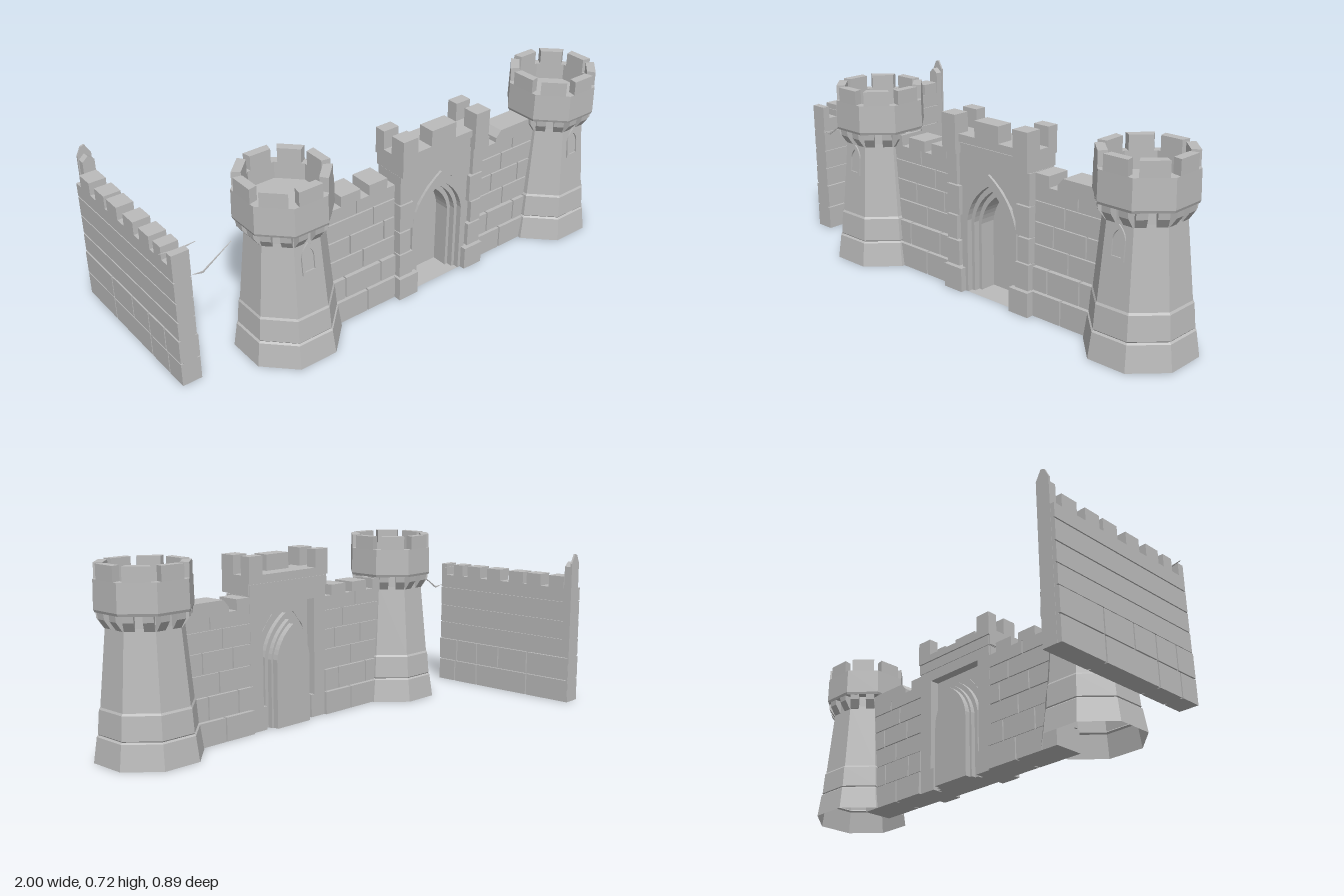
import * as THREE from 'three';

const stone = new THREE.MeshStandardMaterial({ color: 0xbbbbbb, side: THREE.DoubleSide });
stone.name = 'grey stone';

const mesh = (parent, name, geo) => {
  const m = new THREE.Mesh(geo, stone);
  m.name = name;
  parent.add(m);
  return m;
};
const group = (parent, name) => {
  const g = new THREE.Group();
  g.name = name;
  parent.add(g);
  return g;
};
// box given by its limits
const box = (parent, name, x0, x1, y0, y1, z0, z1) => {
  const m = mesh(parent, name, new THREE.BoxGeometry(x1 - x0, y1 - y0, z1 - z0));
  m.position.set((x0 + x1) / 2, (y0 + y1) / 2, (z0 + z1) / 2);
  return m;
};
const poly = (pts) => new THREE.Shape(pts.map(([x, y]) => new THREE.Vector2(x, y)));
const extrude = (shape, z0, z1) =>
  new THREE.ExtrudeGeometry(shape, { depth: z1 - z0, bevelEnabled: false, curveSegments: 8 }).translate(0, 0, z0);

// pointed arch outline, centred on cx
const arch = (cx, half, y0, spring, peak) => {
  const s = new THREE.Shape();
  const k = spring + (peak - spring) * 0.62;
  s.moveTo(cx - half, y0).lineTo(cx + half, y0).lineTo(cx + half, spring);
  s.quadraticCurveTo(cx + half * 0.85, k, cx, peak);
  s.quadraticCurveTo(cx - half * 0.85, k, cx - half, spring);
  s.closePath();
  return s;
};
const archRing = (outer, inner, z0, z1) => {
  outer.holes.push(inner);
  return extrude(outer, z0, z1);
};

// flat-sided octagonal body from a profile of [apothem, y]
const octagon = (profile) => {
  const pts = profile.map(([a, y]) => new THREE.Vector2(a / Math.cos(Math.PI / 8), y));
  const g = new THREE.LatheGeometry(pts, 8).rotateY(Math.PI / 8).toNonIndexed();
  g.computeVertexNormals();
  return g;
};

// wall of block courses along x; rows are [y0, y1, z0, z1, joints]
const wall = (parent, name, x0, x1, rows, merlons, top, z0, z1) => {
  const g = group(parent, name);
  box(g, 'wallCore', x0, x1, 0, 0.497, z0 + 0.006, z1 - 0.006);
  for (const [y0, y1, a, b, joints] of rows) {
    const xs = [x0, ...joints, x1];
    for (let i = 0; i + 1 < xs.length; i++) {
      const l = i ? 0.003 : 0, r = i + 2 < xs.length ? 0.003 : 0;
      box(g, 'block', xs[i] + l, xs[i + 1] - r, y0, y1 - (y1 < 0.5 ? 0.005 : 0), a, b);
    }
  }
  for (const [a, b] of merlons) box(g, 'merlon', a, b, 0.5, top, z0, z1);
  return g;
};

const tower = (parent, name, x) => {
  const g = group(parent, name);
  g.position.set(x, 0, 0.257);
  mesh(g, 'towerShaft', octagon([
    [0.19, 0], [0.177, 0.096], [0.17, 0.102], [0.173, 0.106], [0.166, 0.196], [0.161, 0.204], [0.134, 0.5], [0.132, 0.56],
  ]));
  mesh(g, 'towerCrown', octagon([
    [0.13, 0.548], [0.166, 0.548], [0.17, 0.558], [0.168, 0.666], [0.134, 0.666], [0.134, 0.6], [0, 0.6],
  ]));
  const corbel = poly([[0.12, 0.485], [0.138, 0.49], [0.163, 0.525], [0.166, 0.552], [0.12, 0.552]]);
  const merlon = poly([[-0.05, -0.168], [0.05, -0.168], [0.043, -0.134], [-0.043, -0.134]]);
  for (let i = 0; i < 8; i++) {
    const side = group(g, 'crownSide');
    side.rotation.y = (i * Math.PI) / 4;
    mesh(side, 'merlon', extrude(merlon, 0.66, 0.722).rotateX(-Math.PI / 2));
    for (const off of [-0.035, 0.035]) {
      const c = mesh(side, 'corbel', extrude(corbel, -0.019, 0.019).rotateY(-Math.PI / 2));
      c.position.x = off;
    }
  }
  // pointed window on the front face, leaning with the wall
  const win = mesh(g, 'windowFrame', archRing(
    arch(0, 0.031, -0.058, 0.015, 0.064), arch(0, 0.021, -0.046, 0.01, 0.046), -0.008, 0.006));
  win.position.set(0, 0.425, 0.141);
  win.rotation.x = -0.093;
};

const gatehouse = (parent) => {
  const g = group(parent, 'gatehouse');
  const cx = 0.152;
  // front layer with the arch, back layer with a square opening
  const face = poly([[-0.055, 0], [0.015, 0], [0.015, 0.3], [0.04, 0.39], [0.09, 0.45], [cx, 0.488],
    [0.214, 0.45], [0.264, 0.39], [0.289, 0.3], [0.289, 0], [0.36, 0], [0.36, 0.62], [-0.055, 0.62]]);
  mesh(g, 'gateFront', extrude(face, 0.24, 0.318));
  const back = poly([[-0.055, 0], [0.01, 0], [0.01, 0.5], [0.295, 0.5], [0.295, 0], [0.36, 0], [0.36, 0.62], [-0.055, 0.62]]);
  mesh(g, 'gateBack', extrude(back, 0.2, 0.24));
  // nested arch mouldings and the door
  mesh(g, 'outerArch', archRing(arch(cx, 0.14, 0, 0.3, 0.495), arch(cx, 0.112, 0, 0.29, 0.45), 0.24, 0.328));
  mesh(g, 'middleArch', archRing(arch(cx, 0.116, 0, 0.29, 0.455), arch(cx, 0.098, 0, 0.28, 0.425), 0.22, 0.305));
  mesh(g, 'innerArch', archRing(arch(cx, 0.1, 0, 0.28, 0.43), arch(cx, 0.084, 0, 0.27, 0.4), 0.2, 0.28));
  mesh(g, 'door', extrude(arch(cx, 0.09, 0, 0.28, 0.415), 0.176, 0.215));
  // raised course above the arch, and the parapet
  box(g, 'lintelCourse', -0.058, 0.362, 0.548, 0.59, 0.197, 0.326);
  box(g, 'parapet', -0.063, 0.367, 0.595, 0.625, 0.193, 0.334);
  box(g, 'middleMerlon', 0.09, 0.21, 0.62, 0.69, 0.265, 0.334);
  for (const s of [-1, 1]) {
    const px = (a, b) => (s < 0 ? [cx - b, cx - a] : [cx + a, cx + b]);
    box(g, 'pillarBase', ...px(0.125, 0.217), 0, 0.096, 0.2, 0.352);
    [[0.1, 0.2], [0.205, 0.3], [0.305, 0.42], [0.425, 0.545]].forEach(([y0, y1], i) =>
      box(g, 'pillarBlock', ...px(i % 2 ? 0.158 : 0.146, 0.21), y0, y1, 0.21, 0.34 - i * 0.002));
    box(g, 'pillarCap', ...px(0.145, 0.215), 0.55, 0.625, 0.2, 0.352);
    box(g, 'frontCornerMerlon', ...px(0.145, 0.215), 0.62, 0.7, 0.285, 0.352);
    box(g, 'backCornerMerlon', ...px(0.145, 0.215), 0.62, 0.7, 0.193, 0.24);
  }
};

export function createModel() {
  const model = new THREE.Group();
  model.name = 'castleWalls';
  tower(model, 'rightTower', -0.527);
  tower(model, 'leftTower', 0.81);
  gatehouse(model);

  // curtain walls beside the gate
  const rows = (j) => [
    [0, 0.1, 0.188, 0.322, j[0]], [0.1, 0.195, 0.194, 0.314, j[1]], [0.195, 0.28, 0.2, 0.304, j[2]],
    [0.28, 0.365, 0.2, 0.303, j[3]], [0.365, 0.445, 0.201, 0.302, j[4]], [0.445, 0.5, 0.201, 0.301, j[5]],
  ];
  wall(model, 'rightCurtainWall', -0.41, -0.05, rows([[-0.2], [-0.3, -0.13], [-0.21], [-0.27, -0.11], [-0.16], [-0.24]]),
    [[-0.41, -0.35], [-0.31, -0.22], [-0.18, -0.095]], 0.543, 0.201, 0.301);
  wall(model, 'leftCurtainWall', 0.355, 0.7, rows([[0.5], [0.43, 0.58], [0.52], [0.45, 0.6], [0.5], [0.56]]),
    [[0.36, 0.425]], 0.543, 0.201, 0.301);
  mesh(model, 'brokenMerlon', extrude(
    poly([[0.465, 0.49], [0.7, 0.49], [0.66, 0.548], [0.49, 0.548], [0.465, 0.52]]), 0.201, 0.301));

  // separate side wall, running along z
  const u = (...zs) => zs.map((z) => -(z + 0.092));
  const side = wall(model, 'sideWall', -0.352, 0.352, [
    [0, 0.1, -0.039, 0.039, u(0.17, 0.045, -0.23)], [0.1, 0.2, -0.039, 0.039, u(0.16, 0.045, -0.075, -0.23)],
    [0.2, 0.28, -0.036, 0.034, []], [0.28, 0.36, -0.035, 0.034, []],
    [0.36, 0.445, -0.035, 0.034, []], [0.445, 0.5, -0.035, 0.034, []],
  ], [u(0.26, 0.23), u(0.19, 0.14), u(0.11, 0.04), u(0, -0.072), u(-0.12, -0.195), u(-0.215, -0.287), u(-0.33, -0.405)],
  0.551, -0.035, 0.034);
  side.position.set(-0.944, 0, -0.092);
  side.rotation.y = Math.PI / 2;

  // broken pointed post at the far end
  mesh(model, 'endPost', extrude(
    poly([[-0.965, 0], [-0.907, 0], [-0.907, 0.61], [-0.93, 0.65], [-0.945, 0.645], [-0.962, 0.61]]), -0.445, -0.437));
  mesh(model, 'endPostStump', extrude(
    poly([[-0.96, 0.2], [-0.91, 0.2], [-0.91, 0.595], [-0.935, 0.615], [-0.958, 0.595]]), -0.437, -0.408));

  // thin splinters at the near end
  mesh(model, 'lowSplinter', extrude(poly([[-0.868, 0.44], [-0.75, 0.52], [-0.868, 0.447], [-0.907, 0.45]]), 0.262, 0.266));
  mesh(model, 'highSplinter', extrude(poly([[-1, 0.546], [-0.93, 0.532], [-0.86, 0.54], [-0.93, 0.538]]), 0.215, 0.219));
  return model;
}
